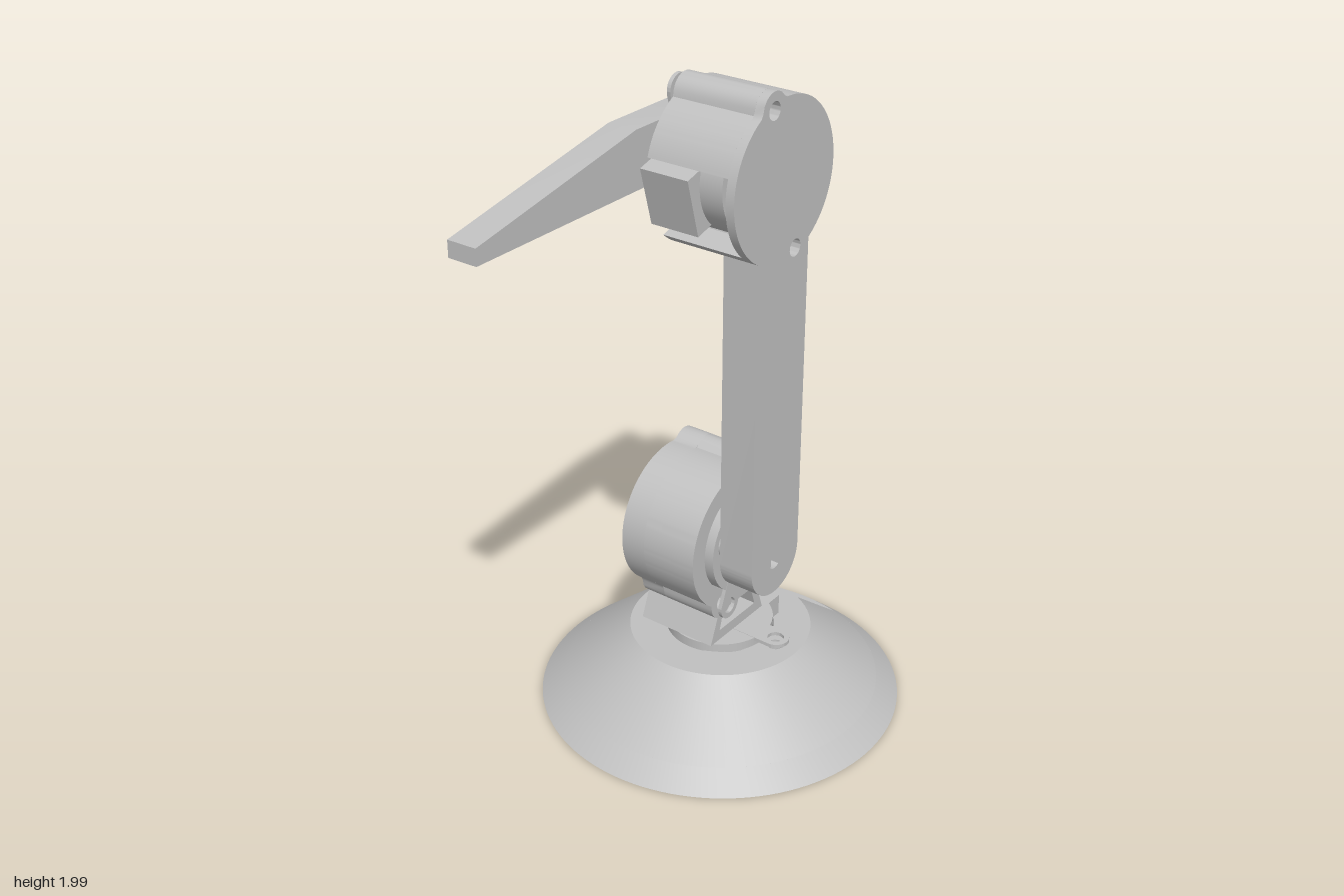
import * as THREE from 'three';
import { toCreasedNormals } from 'three/addons/utils/BufferGeometryUtils.js';

const grey = new THREE.MeshStandardMaterial({ color: 0xc0c0c0 });
grey.name = 'plain grey';

const EAR = 0.2;        // screw distance from a motor's centre
const SCREW = 0.024;    // screw hole radius
const POCKET = 0.16;    // motor pocket radius
const SLOT = 0.115;     // half width of the wiring slot
const SHAFT = 0.088;    // shaft offset from the motor's centre

function add(parent, name, geometry) {
  const mesh = new THREE.Mesh(toCreasedNormals(geometry, 0.5), grey);
  mesh.name = name;
  parent.add(mesh);
  return mesh;
}

// Extrude a shape between two z levels
function slab(shape, z0, z1) {
  const g = new THREE.ExtrudeGeometry(shape, { depth: z1 - z0, bevelEnabled: false, curveSegments: 32 });
  return g.translate(0, 0, z0);
}

function polygon(points) {
  return new THREE.Shape(points.map(([x, y]) => new THREE.Vector2(x, y)));
}

function circleHole(shape, x, y, r) {
  shape.holes.push(new THREE.Path().absarc(x, y, r, 0, Math.PI * 2, true));
}

function screwHoles(shape) {
  for (const s of [-1, 1]) circleHole(shape, 0, s * EAR, SCREW);
  return shape;
}

// Round outline with two flats, for the shaft and its sockets
function flattedCircle(x, y, r, half) {
  const a = Math.acos(half / r);
  const points = [];
  for (const start of [a, Math.PI + a]) {
    for (let i = 0; i <= 8; i++) {
      const t = start + (Math.PI - 2 * a) * i / 8;
      points.push([x + r * Math.cos(t), y + r * Math.sin(t)]);
    }
  }
  return polygon(points);
}

// Outline given by a radius rule, optionally opened by a slot towards +x
function roundOutline(radiusAt, slotted) {
  const points = [];
  const N = 120;
  const a = slotted ? Math.asin(SLOT / radiusAt(0)) : 0;
  for (let i = 0; i < N + (slotted ? 1 : 0); i++) {
    const t = a + (Math.PI * 2 - 2 * a) * i / N;
    points.push([radiusAt(t) * Math.cos(t), radiusAt(t) * Math.sin(t)]);
  }
  if (slotted) {
    const b = Math.asin(SLOT / POCKET);
    for (let i = 64; i >= 0; i--) {
      const t = b + (Math.PI * 2 - 2 * b) * i / 64;
      points.push([POCKET * Math.cos(t), POCKET * Math.sin(t)]);
    }
  }
  return screwHoles(polygon(points));
}

// Drum radius swelling out into two screw bosses
function drumRadius(t) {
  const s = EAR * Math.cos(t), boss = 0.049;
  if (Math.abs(s) >= boss) return 0.215;
  return Math.max(0.215, EAR * Math.abs(Math.sin(t)) + Math.sqrt(boss * boss - s * s));
}

// Geared motor facing +z, shaft on the -x side, wiring box on the +x side
function makeMotor() {
  const motor = new THREE.Group();
  motor.name = 'motor';
  const can = new THREE.Shape().absarc(0, 0, 0.157, 0, Math.PI * 2);
  add(motor, 'motorCan', slab(can, -0.215, 0));

  const flange = new THREE.Shape();
  flange.absarc(0, EAR, 0.04, 0, Math.PI);
  flange.absarc(0, -EAR, 0.04, Math.PI, Math.PI * 2);
  add(motor, 'mountingEars', slab(screwHoles(flange), -0.01, 0.001));

  add(motor, 'wiringBox', new THREE.BoxGeometry(0.19, 0.165, 0.145).translate(0.095, 0, -0.0745));
  const collar = new THREE.Shape().absarc(-SHAFT, 0, 0.05, 0, Math.PI * 2);
  add(motor, 'shaftCollar', slab(collar, 0, 0.017));
  const neck = new THREE.Shape().absarc(-SHAFT, 0, 0.028, 0, Math.PI * 2);
  add(motor, 'shaftNeck', slab(neck, 0.017, 0.05));
  add(motor, 'shaftTip', slab(flattedCircle(-SHAFT, 0, 0.028, 0.017), 0.05, 0.11));
  motor.position.z = 0.026;
  return motor;
}

// Motor housing open to +z, with a closed back
function makeHousing(name, slotDepth, depth) {
  const g = new THREE.Group();
  g.name = name;
  add(g, 'drumWall', slab(roundOutline(drumRadius, true), -slotDepth, 0));
  add(g, 'drumBack', slab(roundOutline(drumRadius, false), -depth, -slotDepth));
  g.add(makeMotor());
  return g;
}

// Conical foot, built along z and then stood upright
function makeBase() {
  const base = new THREE.Group();
  base.name = 'base';
  const mid = 0.474, top = 0.27, bottom = 0.54;
  const aMid = Math.asin(SLOT / mid), aTop = Math.asin(SLOT / top);

  // Upper cone with the slot: pull the top rim inward, keeping the slot parallel
  const upper = slab(roundOutline(() => mid, true), -0.17, 0);
  const p = upper.attributes.position;
  for (let i = 0; i < p.count; i++) {
    const x = p.getX(i), y = p.getY(i);
    if (Math.hypot(x, y) < 0.4 || p.getZ(i) < -0.01) continue;
    const t = Math.atan2(y, x);
    const u = Math.sign(t) * (aTop + (Math.abs(t) - aMid) * (Math.PI - aTop) / (Math.PI - aMid));
    p.setXY(i, top * Math.cos(u), top * Math.sin(u));
  }
  add(base, 'upperCone', upper);

  // Lower cone: widen the bottom rim
  const ring = roundOutline(() => mid, false);
  circleHole(ring, 0, 0, POCKET);
  const lower = slab(ring, -0.225, -0.17);
  const q = lower.attributes.position;
  for (let i = 0; i < q.count; i++) {
    const x = q.getX(i), y = q.getY(i);
    if (Math.hypot(x, y) < 0.4 || q.getZ(i) > -0.2) continue;
    q.setXY(i, x * bottom / mid, y * bottom / mid);
  }
  add(base, 'lowerCone', lower);

  base.add(makeMotor());
  base.rotation.x = -Math.PI / 2;
  base.position.set(0.19, 0.225, 0);
  return base;
}

export function createModel() {
  const model = new THREE.Group();
  model.name = 'roboticArm';
  model.add(makeBase());

  // Shoulder: tilted housing on a hollow-fronted pedestal
  const shoulder = makeHousing('shoulderHousing', 0.17, 0.247);
  shoulder.position.set(0.097, 0.623, 0.125);
  shoulder.rotation.z = -0.386;
  model.add(shoulder);

  const foot = [[-0.03, 0.313], [0.225, 0.313], [0.18, 0.44], [0.06, 0.415], [0.01, 0.415]];
  const frame = polygon(foot);
  frame.holes.push(polygon([[0.012, 0.345], [0.185, 0.345], [0.165, 0.405], [0.03, 0.405]]));
  add(model, 'pedestalFrame', slab(frame, -0.03, 0.125));
  add(model, 'pedestalBack', slab(polygon(foot), -0.122, -0.03));

  // Upright arm with a rounded lower end
  const bar = new THREE.Shape();
  bar.moveTo(0.125, 1.6);
  bar.lineTo(-0.095, 1.6);
  bar.lineTo(-0.095, 0.66);
  bar.absarc(0.015, 0.66, 0.11, Math.PI, Math.PI * 2);
  bar.lineTo(0.125, 1.6);
  bar.holes.push(flattedCircle(0.014, 0.657, 0.029, 0.018));
  circleHole(bar, 0.065, 1.56, SCREW);
  add(model, 'uprightArm', slab(bar, 0.2, 0.305));

  // Elbow: housing facing backwards
  const elbow = makeHousing('elbowHousing', 0.24, 0.265);
  elbow.position.set(0.0125, 1.7525, 0.04);
  elbow.rotation.set(0, Math.PI, -0.267);
  model.add(elbow);

  // Tapering lever on the elbow shaft
  const lever = new THREE.Shape();
  lever.moveTo(-0.735, 1.7);
  lever.lineTo(0.098, 1.7);
  lever.absarc(0.098, 1.779, 0.08, -Math.PI / 2, Math.PI / 2);
  lever.lineTo(-0.15, 1.859);
  lever.lineTo(-0.735, 1.745);
  lever.holes.push(flattedCircle(0.098, 1.776, 0.029, 0.018));
  add(model, 'lever', slab(lever, -0.115, -0.028));

  return model;
}
